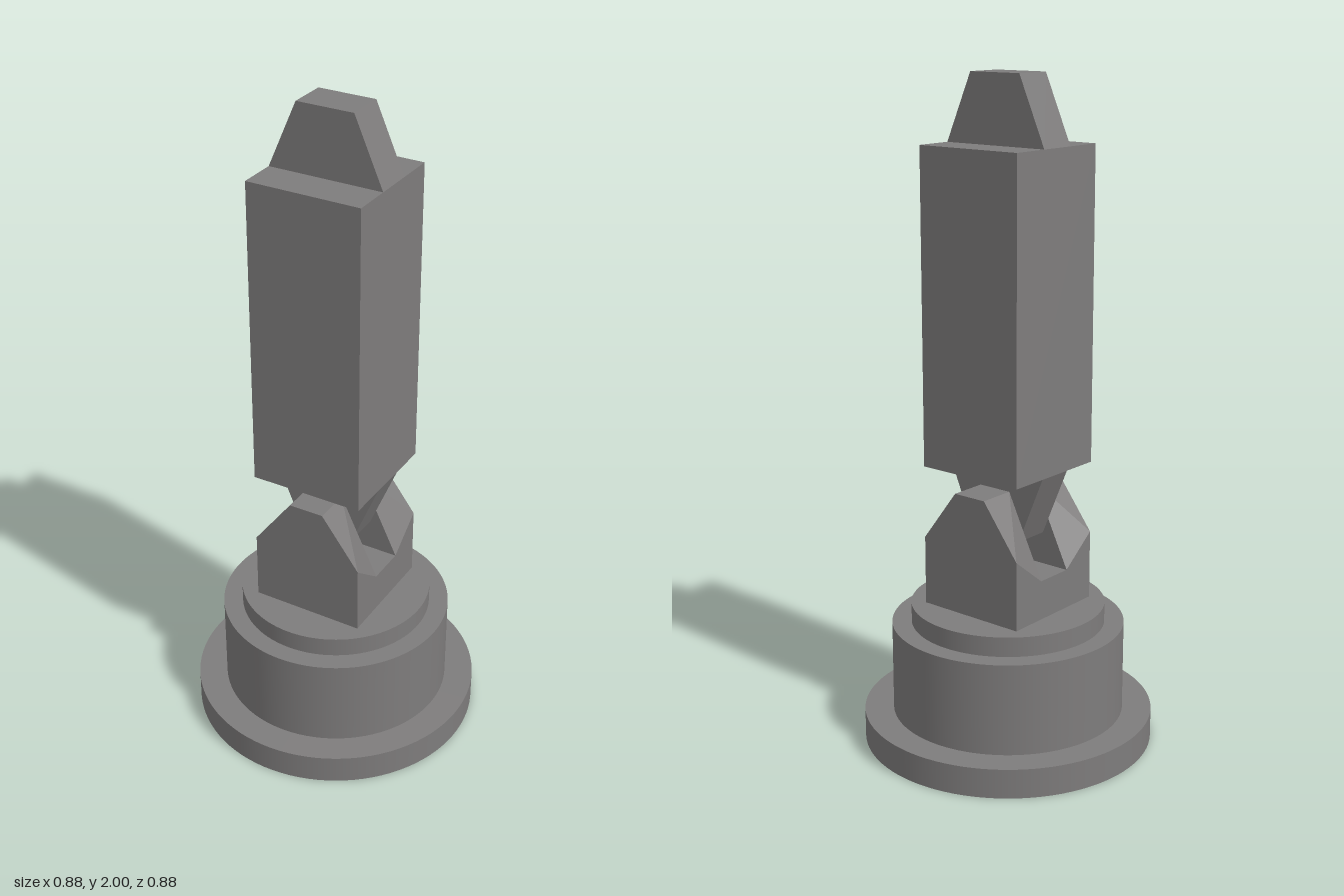
import * as THREE from 'three';
import { ConvexGeometry } from 'three/addons/geometries/ConvexGeometry.js';

export function createModel() {
  const group = new THREE.Group();
  const grey = new THREE.MeshStandardMaterial({ color: 0x7e7c7c });
  grey.name = 'grey metal';

  const half = 0.176; // half width of the square bar

  function add(name, geometry, y = 0) {
    const mesh = new THREE.Mesh(geometry, grey);
    mesh.name = name;
    mesh.position.y = y;
    group.add(mesh);
  }

  // Stepped round base
  function disc(name, radius, y0, y1) {
    add(name, new THREE.CylinderGeometry(radius, radius, y1 - y0, 96), (y0 + y1) / 2);
  }
  disc('baseFlange', 0.44, 0, 0.09);
  disc('baseDrum', 0.352, 0.09, 0.37);
  disc('baseCollar', 0.293, 0.37, 0.43);

  // Square foot of the fork
  add('forkFoot', new THREE.BoxGeometry(half * 2, 0.12, half * 2), 0.49);

  // Two fork prongs, bevels running lower on the slot side
  const slot = 0.061;
  for (const side of [1, -1]) {
    const points = [];
    for (const x of [1, -1]) {
      points.push(
        new THREE.Vector3(x * 0.055, 0.8, side * half),
        new THREE.Vector3(x * 0.055, 0.8, side * slot),
        new THREE.Vector3(x * half, 0.64, side * half),
        new THREE.Vector3(x * half, 0.55, side * half),
        new THREE.Vector3(x * half, 0.55, side * slot)
      );
    }
    add(side > 0 ? 'frontProng' : 'backProng', new ConvexGeometry(points));
  }

  // Square bar
  add('bar', new THREE.BoxGeometry(half * 2, 0.94, half * 2), 1.33);

  // Tapered flat tongues at both ends of the bar
  function tongue(name, rootY, tipY, thickness) {
    const outline = [[-half, rootY], [half, rootY], [0.088, tipY], [-0.088, tipY]];
    const shape = new THREE.Shape(outline.map(([x, y]) => new THREE.Vector2(x, y)));
    const geometry = new THREE.ExtrudeGeometry(shape, { depth: thickness, bevelEnabled: false });
    geometry.translate(0, 0, -thickness / 2);
    add(name, geometry);
  }
  tongue('topTongue', 1.8, 2, 0.117);
  tongue('bottomTongue', 0.86, 0.65, 0.115);

  return group;
}
